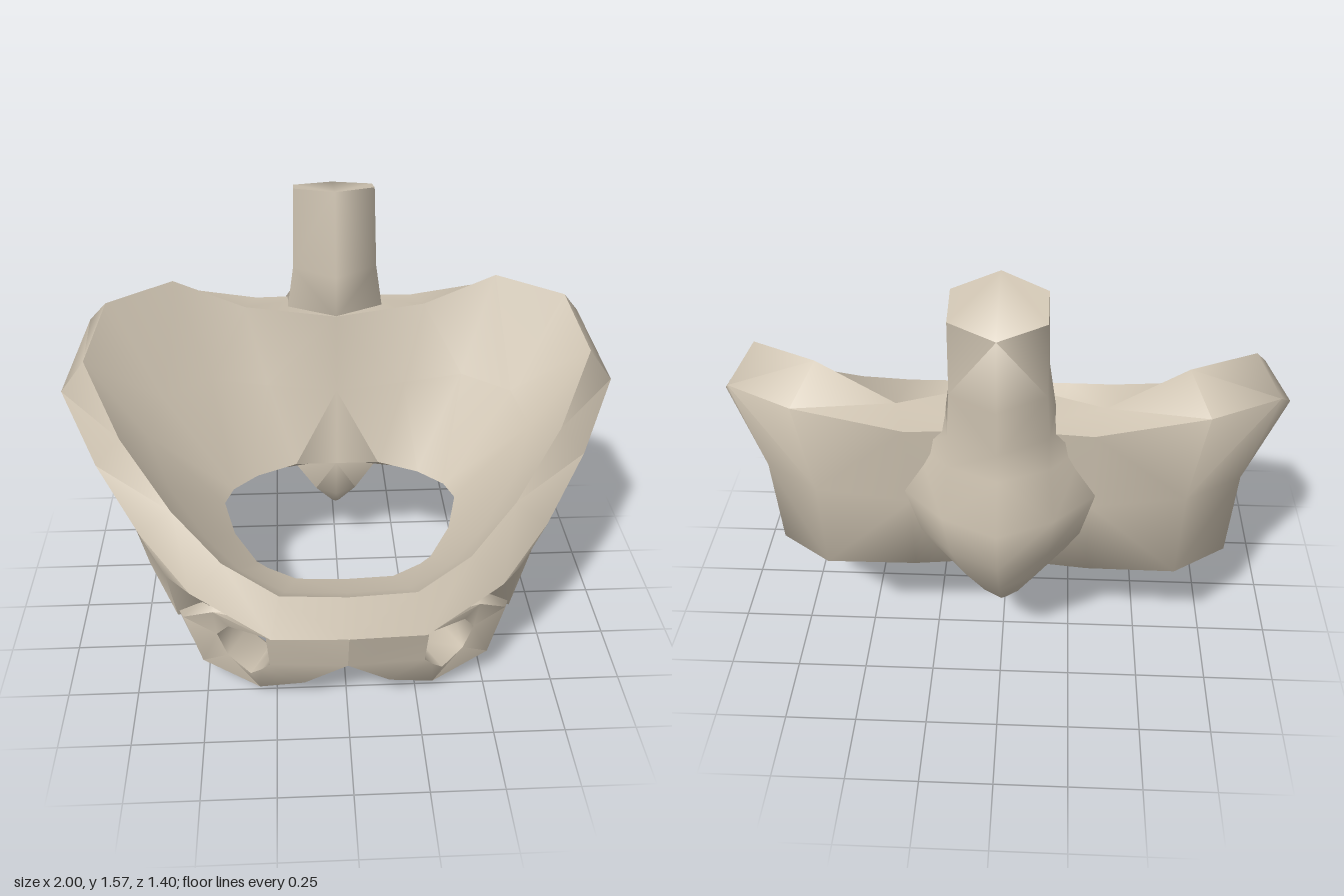
import * as THREE from 'three';
import { toCreasedNormals } from 'three/addons/utils/BufferGeometryUtils.js';

// Skins a list of cross-sections (each a closed loop of points).
// ring: joins the last section to the first; otherwise both ends are capped.
function loft(sections, ring, crease) {
  const n = sections.length, m = sections[0].length;
  const pts = sections.map((s) => s.map((p) => new THREE.Vector3(...p)));
  const tris = [];
  for (let i = 0; i < (ring ? n : n - 1); i++) {
    for (let j = 0; j < m; j++) {
      const a = pts[i][j], b = pts[(i + 1) % n][j];
      const c = pts[(i + 1) % n][(j + 1) % m], d = pts[i][(j + 1) % m];
      // split each quad along its shorter diagonal
      if (a.distanceTo(c) < b.distanceTo(d)) tris.push([a, b, c], [a, c, d]);
      else tris.push([a, b, d], [b, c, d]);
    }
  }
  if (!ring) {
    const s = pts[0], e = pts[n - 1];
    for (let j = 1; j < m - 1; j++) tris.push([s[0], s[j], s[j + 1]], [e[0], e[j + 1], e[j]]);
  }
  // turn the faces outward
  const cross = new THREE.Vector3();
  const volume = tris.reduce((v, [a, b, c]) => v + a.dot(cross.crossVectors(b, c)), 0);
  if (volume < 0) tris.forEach((t) => t.reverse());
  const geometry = new THREE.BufferGeometry().setFromPoints(tris.flat());
  return toCreasedNormals(geometry, crease);
}

const mirror = (section) => section.map(([x, y, z]) => [-x, y, z]);
const mix = (a, b, t) => a.map((v, i) => v + (b[i] - v) * t);

// Basin section from its four corners: adds a hollowed inner wall,
// a rounded underside and a slightly waisted outer wall
function basinSection([rimOut, rimIn, opening, foot]) {
  const [ix, iy, iz] = mix(rimIn, opening, 0.5);
  const [ux, uy, uz] = mix(opening, foot, 0.52);
  const [wx, wy, wz] = mix(rimOut, foot, 0.5);
  const drop = 0.27 * Math.hypot(foot[0] - opening[0], foot[2] - opening[2]);
  return [
    rimOut, rimIn, [ix * 1.05, iy, iz * 1.05], opening,
    [ux, uy - drop, uz], foot, [wx * (1 - 0.05 * wx), wy, wz],
  ];
}

// Seat loop section: adds a bulging outer edge and the far end of the slanted hole
function seatSection([hole, front, back]) {
  const [x, y, z] = mix(front, back, 0.5);
  return [hole, front, [x * 1.12, 0.25 + (y - 0.25) * 1.25, z], back,
    [hole[0] - 0.065, hole[1], hole[2] - 0.14]];
}

export function createModel() {
  const model = new THREE.Group();
  model.name = 'pelvis';
  const bone = new THREE.MeshStandardMaterial({ color: 0xcfc4b2 });
  bone.name = 'bone';
  const add = (name, geometry) => {
    const mesh = new THREE.Mesh(geometry, bone);
    mesh.name = name;
    model.add(mesh);
  };

  // Basin, back centre to front centre: outer rim, inner rim, opening edge, outer foot
  const half = [
    [[0, 1.1, -0.5], [0, 1.12, -0.26], [0, 0.52, -0.19], [0, 0.52, -0.46]],
    [[0.3, 1.09, -0.51], [0.34, 1.11, -0.38], [0.16, 0.52, -0.19], [0.3, 0.47, -0.44]],
    [[0.66, 1.155, -0.49], [0.6, 1.24, -0.34], [0.31, 0.51, -0.13], [0.6, 0.5, -0.475]],
    [[0.91, 1.11, -0.3], [0.83, 1.22, -0.2], [0.4, 0.51, -0.04], [0.8, 0.43, -0.27]],
    [[1, 0.94, -0.06], [0.9, 1.08, -0.02], [0.43, 0.51, 0.05], [0.81, 0.43, -0.04]],
    [[0.86, 0.78, 0.19], [0.77, 0.88, 0.18], [0.39, 0.48, 0.2], [0.71, 0.34, 0.18]],
    [[0.7, 0.63, 0.4], [0.59, 0.71, 0.38], [0.31, 0.45, 0.33], [0.6, 0.25, 0.37]],
    [[0.53, 0.5, 0.56], [0.42, 0.6, 0.53], [0.27, 0.45, 0.37], [0.46, 0.36, 0.48]],
    [[0.26, 0.4, 0.69], [0.23, 0.535, 0.63], [0.17, 0.43, 0.41], [0.24, 0.35, 0.59]],
    [[0, 0.4, 0.7], [0, 0.53, 0.64], [0, 0.43, 0.42], [0, 0.32, 0.6]],
  ].map(basinSection);
  add('hipBasin', loft([...half, ...half.slice(1, -1).reverse().map(mirror)], true, 1.2));

  // Lower front loop around each opening: hole edge, outer front, outer back
  const loop = [
    [[0.28, 0.33, 0.6], [0, 0.39, 0.69], [0, 0.4, 0.44]],
    [[0.41, 0.335, 0.54], [0.46, 0.4, 0.54], [0.34, 0.41, 0.37]],
    [[0.455, 0.25, 0.48], [0.575, 0.29, 0.43], [0.5, 0.24, 0.27]],
    [[0.42, 0.16, 0.49], [0.51, 0.13, 0.48], [0.43, 0.11, 0.32]],
    [[0.34, 0.12, 0.545], [0.31, 0.04, 0.53], [0.26, 0.06, 0.35]],
    [[0.3, 0.16, 0.57], [0.15, 0.1, 0.58], [0.14, 0.11, 0.42]],
    [[0.27, 0.2, 0.59], [0, 0.21, 0.62], [0, 0.22, 0.46]],
  ].map(seatSection);
  add('leftSeatLoop', loft(loop, true, 1.2));
  add('rightSeatLoop', loft(loop.map(mirror), true, 1.2));

  // Spine stump running down into the tailbone:
  // height, front z, back z, front half width, back half width, top tilt
  const spine = [
    [1.54, -0.33, -0.64, 0.148, 0.148, 0.033],
    [1.27, -0.263, -0.655, 0.155, 0.15, 0],
    [1.11, -0.263, -0.65, 0.178, 0.16, 0],
    [1.0, -0.36, -0.64, 0.27, 0.16, 0],
    [0.83, -0.36, -0.705, 0.33, 0.18, 0],
    [0.65, -0.33, -0.66, 0.3, 0.16, 0],
    [0.47, -0.27, -0.56, 0.2, 0.12, 0],
    [0.31, -0.285, -0.435, 0.08, 0.06, 0],
    [0.24, -0.335, -0.365, 0.015, 0.015, 0],
  ].map(([y, zf, zb, wf, wb, t]) => {
    const z1 = zf + (zb - zf) * 0.3, z2 = zf + (zb - zf) * 0.75;
    return [[0, y + t, zf], [wf, y + t / 2, z1], [wb, y - t / 2, z2],
      [0, y - t, zb], [-wb, y - t / 2, z2], [-wf, y + t / 2, z1]];
  });
  add('spineAndTailbone', loft(spine, false, 1.35));

  return model;
}
